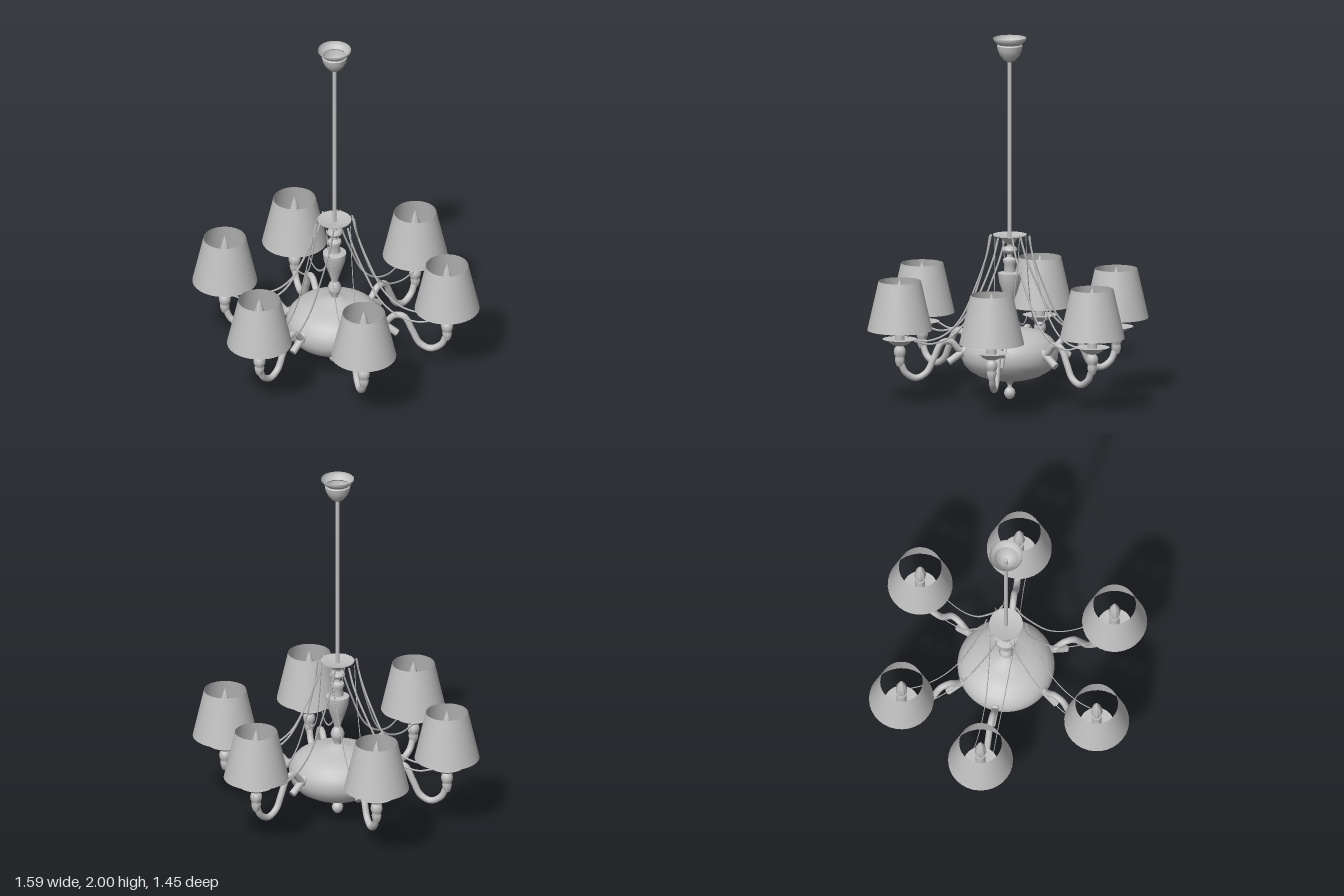
import * as THREE from 'three';
import { toCreasedNormals } from 'three/addons/utils/BufferGeometryUtils.js';

const metal = new THREE.MeshStandardMaterial({ color: 0xc0c0c0, side: THREE.DoubleSide });
metal.name = 'satin grey';

function part(name, geometry) {
  const mesh = new THREE.Mesh(geometry, metal);
  mesh.name = name;
  return mesh;
}

// Turned part from [radius, height] pairs, listed bottom to top
function turned(name, profile, sides = 32) {
  const points = profile.map(([r, y]) => new THREE.Vector2(r, y));
  return part(name, toCreasedNormals(new THREE.LatheGeometry(points, sides), 0.7));
}

// Curve in the vertical plane of an arm, from [distance out, height] pairs
function armCurve(points) {
  return new THREE.CatmullRomCurve3(points.map(([x, y]) => new THREE.Vector3(x, y, 0)));
}

// Thin swag ribbon from the crown to a drip dish; side is +1 or -1
function swag(side) {
  const curve = armCurve([[0.085, 0.908], [0.11, 0.8], [0.175, 0.63], [0.265, 0.45],
    [0.36, 0.365], [0.47, 0.338], [0.555, 0.36]]);
  const geo = new THREE.TubeGeometry(curve, 40, 0.006, 6);
  geo.scale(1, 1, 0.4);
  const pos = geo.attributes.position;
  for (let i = 0; i < pos.count; i++) {
    const t = Math.min(1, Math.max(0, (pos.getX(i) - 0.085) / 0.47));
    const spread = 0.068 - 0.07 * t + 0.058 * t * t;
    pos.setZ(i, pos.getZ(i) + side * spread);
  }
  geo.computeVertexNormals();
  return part('swagRibbon', geo);
}

// One arm with its lamp, running out along +x
function createArm() {
  const arm = new THREE.Group();
  arm.name = 'lampArm';
  const reach = 0.622;

  const path = armCurve([[0.25, 0.26], [0.29, 0.295], [0.335, 0.338], [0.385, 0.333], [0.43, 0.25],
    [0.47, 0.175], [0.53, 0.147], [0.59, 0.18], [0.618, 0.24]]);
  arm.add(part('curvedArm', new THREE.TubeGeometry(path, 48, 0.018, 12)));

  // Stub by which the arm meets the body
  const stub = part('armStub', new THREE.CylinderGeometry(0.02, 0.02, 0.12, 12));
  stub.position.set(0.297, 0.258, 0);
  stub.rotation.z = Math.atan2(0.095, 0.065);
  arm.add(stub);

  const lamp = new THREE.Group();
  lamp.name = 'lamp';
  lamp.position.x = reach;
  lamp.add(turned('beadedCup', [[0.016, 0.215], [0.024, 0.235], [0.027, 0.255], [0.024, 0.268],
    [0.03, 0.28], [0.033, 0.298], [0.029, 0.315], [0.019, 0.327], [0.022, 0.335]], 20));
  lamp.add(turned('dripDish', [[0, 0.33], [0.035, 0.333], [0.055, 0.345], [0.065, 0.356],
    [0.094, 0.366], [0.06, 0.364], [0, 0.36]]));
  lamp.add(turned('candleSleeve', [[0.027, 0.36], [0.027, 0.5], [0, 0.5]], 16));
  lamp.add(turned('bulb', [[0.02, 0.5], [0.033, 0.56], [0.027, 0.615], [0.013, 0.665], [0, 0.698]], 8));

  const shade = part('lampShade', new THREE.CylinderGeometry(0.116, 0.177, 0.27, 32, 1, true));
  shade.position.y = 0.551;
  lamp.add(shade);
  arm.add(lamp, swag(1), swag(-1));
  return arm;
}

export function createModel() {
  const model = new THREE.Group();
  model.name = 'chandelier';
  const frame = new THREE.Group();
  frame.name = 'frame';
  frame.position.z = -0.013;
  model.add(frame);

  // Open ceiling cup and hanging rod
  frame.add(turned('ceilingCup', [[0.011, 1.865], [0.03, 1.875], [0.052, 1.9], [0.066, 1.93],
    [0.07, 1.955], [0.064, 1.962], [0.078, 1.975], [0.09, 1.99], [0.09, 2]]));
  const rod = part('hangingRod', new THREE.CylinderGeometry(0.011, 0.011, 1.08, 16));
  rod.position.y = 1.39;
  frame.add(rod);

  // Flared crown that holds the ribbons
  frame.add(turned('crown', [[0.015, 0.86], [0.03, 0.872], [0.04, 0.89], [0.065, 0.903],
    [0.092, 0.908], [0.092, 0.914], [0.06, 0.908], [0.011, 0.9]]));

  // Turned central column
  frame.add(turned('column', [[0.022, 0.4], [0.018, 0.425], [0.03, 0.45], [0.039, 0.475],
    [0.031, 0.5], [0.018, 0.52], [0.022, 0.54], [0.042, 0.6], [0.058, 0.65], [0.064, 0.695],
    [0.064, 0.702], [0.032, 0.708], [0.03, 0.75], [0.038, 0.765], [0.036, 0.778], [0.016, 0.79],
    [0.015, 0.805], [0.036, 0.816], [0.042, 0.83], [0.036, 0.842], [0.015, 0.85], [0.015, 0.88]]));

  // Wide rounded body
  frame.add(turned('body', [[0, 0.112], [0.06, 0.113], [0.11, 0.12], [0.17, 0.138], [0.22, 0.167],
    [0.25, 0.2], [0.263, 0.235], [0.264, 0.275], [0.252, 0.31], [0.225, 0.343], [0.18, 0.372],
    [0.12, 0.387], [0.06, 0.402], [0.03, 0.418], [0, 0.42]], 48));

  // Bottom finial
  frame.add(turned('finial', [[0, 0.003], [0.012, 0.006], [0.026, 0.02], [0.032, 0.04],
    [0.026, 0.058], [0.013, 0.07], [0.012, 0.085], [0.022, 0.1], [0.036, 0.108], [0.04, 0.118]], 20));

  // Six arms, slightly unevenly spread
  for (const degrees of [-5.1, 59.9, 115.8, 181.1, 234.3, 299.6]) {
    const arm = createArm();
    arm.rotation.y = -THREE.MathUtils.degToRad(degrees);
    frame.add(arm);
  }
  return model;
}
